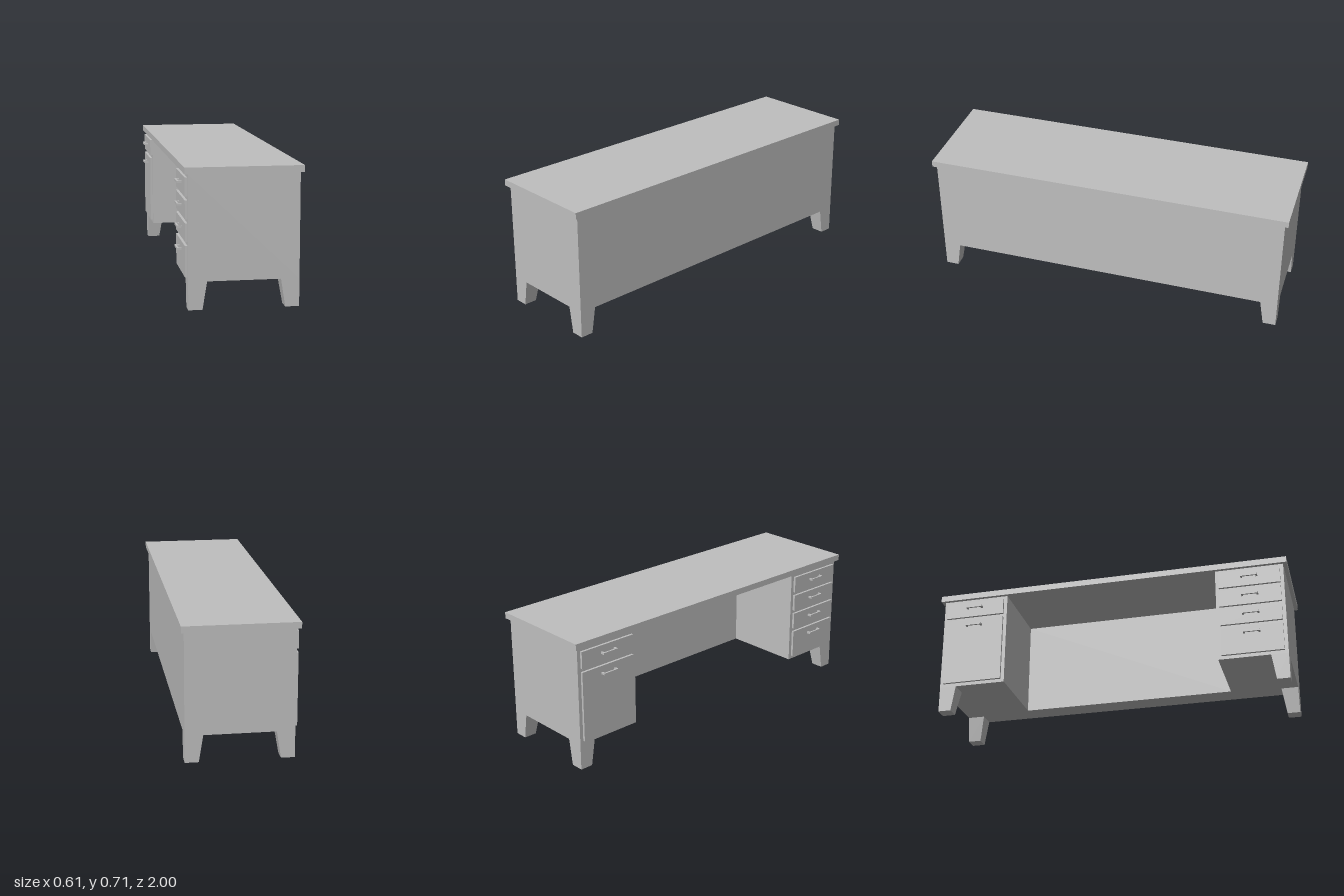
import * as THREE from 'three';

// Desk: the drawer fronts and kneehole face -x, the closed panel faces +x
export function createModel() {
  const desk = new THREE.Group();
  desk.name = 'desk';
  const grey = new THREE.MeshStandardMaterial({ color: 0xbfbfbf });
  grey.name = 'grey';

  function add(name, geometry, parent = desk) {
    const mesh = new THREE.Mesh(geometry, grey);
    mesh.name = name;
    parent.add(mesh);
    return mesh;
  }
  function box(name, x0, x1, y0, y1, z0, z1, parent) {
    const mesh = add(name, new THREE.BoxGeometry(x1 - x0, y1 - y0, z1 - z0), parent);
    mesh.position.set((x0 + x1) / 2, (y0 + y1) / 2, (z0 + z1) / 2);
    return mesh;
  }

  const FRONT = -0.271, BACK = 0.289, END = 0.98, INNER = 0.603, PANEL = 0.169;
  const FLOOR = 0.143, TOP = 0.68;

  // Table top
  box('tableTop', -0.29, 0.305, TOP, 0.714, -1, 1);

  // Two pedestals joined by a thick back panel: a U-shaped plan, extruded upwards
  const plan = new THREE.Shape([
    [FRONT, -END], [BACK, -END], [BACK, END], [FRONT, END],
    [FRONT, INNER], [PANEL, INNER], [PANEL, -INNER], [FRONT, -INNER],
  ].map(([x, y]) => new THREE.Vector2(x, y)));
  const bodyGeometry = new THREE.ExtrudeGeometry(plan, { depth: TOP - FLOOR, bevelEnabled: false });
  bodyGeometry.rotateX(-Math.PI / 2).translate(0, FLOOR, 0);
  add('body', bodyGeometry);

  // Legs: outer faces upright, inner faces tapering towards the ground
  for (const sx of [-1, 1]) {
    for (const sz of [-1, 1]) {
      const geometry = new THREE.BoxGeometry(1, 1, 1);
      const p = geometry.attributes.position;
      for (let i = 0; i < p.count; i++) {
        const width = p.getY(i) > 0 ? 0.094 : 0.071;
        const outerX = sx < 0 ? FRONT : BACK;
        p.setXYZ(i,
          p.getX(i) * sx > 0 ? outerX : outerX - sx * width,
          p.getY(i) > 0 ? FLOOR : 0,
          sz * (p.getZ(i) * sz > 0 ? END : END - width));
      }
      const flat = geometry.toNonIndexed();
      flat.computeVertexNormals();
      add('leg', flat);
    }
  }

  // Drawer front with a U-shaped pull
  function drawer(side, y0, y1, handleY) {
    const group = new THREE.Group();
    group.name = 'drawer';
    desk.add(group);
    const face = -0.284, pull = -0.308, t = 0.009, h = 0.0055;
    const mid = side * (END + INNER) / 2;
    box('drawerFront', face, FRONT, y0, y1, mid - 0.169, mid + 0.169, group);
    box('handleBar', pull, pull + t, handleY - h, handleY + h, mid - 0.046, mid + 0.046, group);
    for (const s of [-1, 1]) {
      const z = mid + s * (0.046 - t / 2);
      box('handlePost', pull + t, face, handleY - h, handleY + h, z - t / 2, z + t / 2, group);
    }
  }

  // Four drawers on the +z pedestal, two on the -z pedestal
  drawer(1, 0.567, 0.66, 0.62);
  drawer(1, 0.453, 0.547, 0.507);
  drawer(1, 0.34, 0.434, 0.394);
  drawer(1, 0.162, 0.32, 0.281);
  drawer(-1, 0.567, 0.66, 0.62);
  drawer(-1, 0.162, 0.547, 0.507);

  return desk;
}
